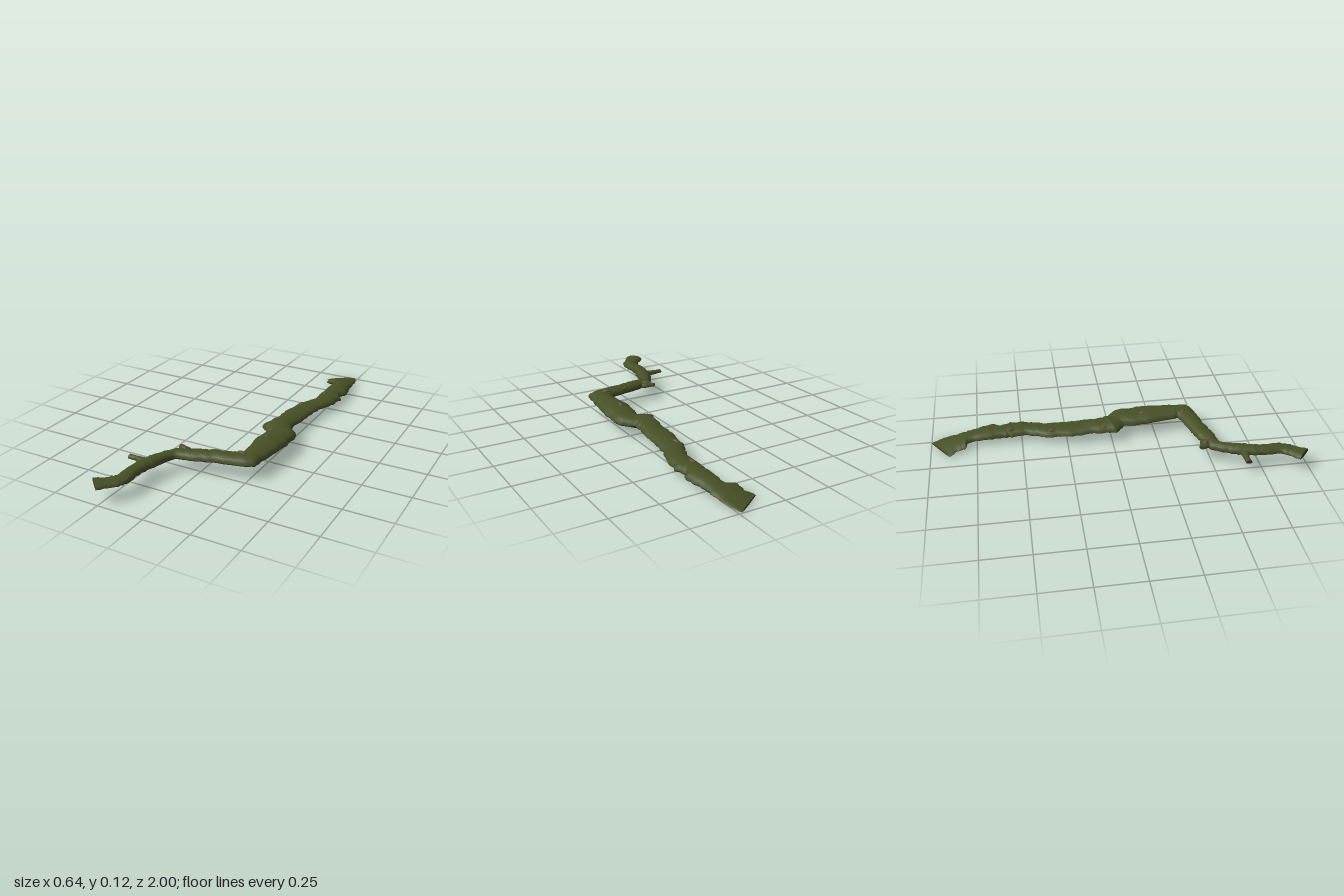
import * as THREE from 'three';

const moss = new THREE.MeshStandardMaterial({ color: 0x465025, side: THREE.DoubleSide });
moss.name = 'moss green';
const bark = new THREE.MeshStandardMaterial({ color: 0x45372b, side: THREE.DoubleSide });
bark.name = 'dark bark';
const knotWood = new THREE.MeshStandardMaterial({ color: 0x5e4d3a });
knotWood.name = 'bare wood';

// Stations: left edge x, z, right edge x, z, bottom y, top y
const rearStations = [
  [0.09, -0.90, 0.235, -1.00, 0.000, 0.012],
  [0.115, -0.86, 0.27, -0.92, 0.006, 0.030],
  [0.12, -0.81, 0.28, -0.82, 0.014, 0.048],
  [0.175, -0.80, 0.285, -0.79, 0.017, 0.055],
  [0.18, -0.70, 0.315, -0.66, 0.024, 0.070],
  [0.18, -0.60, 0.288, -0.62, 0.025, 0.070],
  [0.182, -0.55, 0.31, -0.56, 0.027, 0.072],
  [0.178, -0.45, 0.295, -0.46, 0.031, 0.075],
  [0.13, -0.35, 0.262, -0.37, 0.036, 0.077],
  [0.118, -0.22, 0.25, -0.22, 0.042, 0.083],
  [0.115, -0.10, 0.242, -0.12, 0.047, 0.092],
  [0.10, 0.01, 0.24, -0.04, 0.050, 0.103],
  [0.10, 0.03, 0.26, 0.00, 0.051, 0.100],
  [0.155, 0.07, 0.27, 0.04, 0.053, 0.090],
];
const frontStations = [
  [0.16, -0.01, 0.235, -0.035, 0.045, 0.088],
  [0.16, 0.07, 0.31, 0.045, 0.047, 0.105],
  [0.15, 0.20, 0.312, 0.20, 0.058, 0.114],
  [0.17, 0.35, 0.29, 0.36, 0.064, 0.115],
  [0.17, 0.385, 0.285, 0.46, 0.066, 0.117],
  [0.10, 0.405, 0.20, 0.49, 0.066, 0.114],
  [0.00, 0.43, 0.08, 0.51, 0.064, 0.111],
  [-0.06, 0.455, -0.02, 0.54, 0.062, 0.108],
  [-0.15, 0.49, -0.11, 0.56, 0.060, 0.104],
  [-0.20, 0.58, -0.14, 0.64, 0.060, 0.108],
  [-0.23, 0.66, -0.148, 0.68, 0.061, 0.108],
  [-0.245, 0.75, -0.168, 0.75, 0.063, 0.106],
  [-0.25, 0.85, -0.168, 0.87, 0.066, 0.103],
  [-0.275, 0.89, -0.19, 0.93, 0.069, 0.100],
  [-0.325, 0.93, -0.25, 1.00, 0.074, 0.106],
];
const twigStations = [
  [-0.31, 0.675, -0.31, 0.642, 0.074, 0.094],
  [-0.27, 0.672, -0.27, 0.645, 0.070, 0.094],
  [-0.19, 0.70, -0.19, 0.635, 0.065, 0.098],
];
const spurStations = [
  [-0.155, 0.45, -0.135, 0.435, 0.075, 0.093],
  [-0.135, 0.50, -0.08, 0.45, 0.066, 0.100],
  [-0.10, 0.53, -0.05, 0.49, 0.064, 0.098],
];

let seed = 7;
const random = () => (seed = (seed * 16807) % 2147483647) / 2147483647;

// Subdivide the stations, adding ragged bark steps along both edges
function refine(stations, steps, rough) {
  const rings = [];
  for (let i = 0; i < stations.length - 1; i++) {
    for (let k = 0; k < steps; k++) {
      const t = k / steps;
      const s = stations[i].map((v, n) => v + (stations[i + 1][n] - v) * t);
      if (i + k > 0) {
        const dx = s[2] - s[0], dz = s[3] - s[1], len = Math.hypot(dx, dz);
        const a = (random() - 0.5) * rough / len, b = (random() - 0.6) * rough / len;
        s[0] += dx * a; s[1] += dz * a;
        s[2] += dx * b; s[3] += dz * b;
        s[5] += (random() - 0.6) * rough * 0.3;
      }
      rings.push(s);
    }
  }
  rings.push(stations[stations.length - 1]);
  return rings;
}

// One skin of the trunk: the domed top or the shallow underside
const SIDES = 10;
function skin(rings, isTop) {
  const positions = [], index = [];
  for (const [lx, lz, rx, rz, bottom, top] of rings) {
    const edge = bottom + (top - bottom) * 0.3;
    for (let j = 0; j <= SIDES; j++) {
      const angle = Math.PI * j / SIDES;
      const u = (1 - Math.cos(angle)) / 2;
      const bulge = Math.pow(Math.max(0, Math.sin(angle)), 0.9);
      positions.push(lx + (rx - lx) * u, edge + ((isTop ? top : bottom) - edge) * bulge, lz + (rz - lz) * u);
    }
  }
  const row = SIDES + 1;
  for (let i = 0; i < rings.length - 1; i++) {
    for (let j = 0; j < SIDES; j++) {
      const a = i * row + j, b = a + 1, c = a + row, d = c + 1;
      if (isTop) index.push(a, c, b, b, c, d);
      else index.push(a, b, c, b, d, c);
    }
  }
  const geometry = new THREE.BufferGeometry();
  geometry.setAttribute('position', new THREE.Float32BufferAttribute(positions, 3));
  geometry.setIndex(index);
  geometry.computeVertexNormals();
  return geometry;
}

// Flat broken end closing a sweep
function endCap(ring) {
  const [lx, lz, rx, rz, bottom, top] = ring;
  const edge = bottom + (top - bottom) * 0.3;
  const positions = [], index = [];
  for (let j = 0; j < SIDES * 2; j++) {
    const angle = Math.PI * j / SIDES, s = Math.sin(angle);
    const u = (1 - Math.cos(angle)) / 2;
    const y = edge + (s >= 0 ? top - edge : edge - bottom) * Math.sign(s) * Math.pow(Math.abs(s), 0.9);
    positions.push(lx + (rx - lx) * u, y, lz + (rz - lz) * u);
    if (j > 1) index.push(0, j, j - 1);
  }
  const geometry = new THREE.BufferGeometry();
  geometry.setAttribute('position', new THREE.Float32BufferAttribute(positions, 3));
  geometry.setIndex(index);
  geometry.computeVertexNormals();
  return geometry;
}

function limb(name, stations, steps, rough) {
  const group = new THREE.Group();
  group.name = name;
  const rings = refine(stations, steps, rough);
  const add = (part, geometry, material) => {
    const mesh = new THREE.Mesh(geometry, material);
    mesh.name = part;
    group.add(mesh);
  };
  add('mossyTop', skin(rings, true), moss);
  add('barkUnderside', skin(rings, false), bark);
  add('rearEnd', endCap(rings[0]), bark);
  add('frontEnd', endCap(rings[rings.length - 1]), bark);
  return group;
}

export function createModel() {
  const model = new THREE.Group();
  model.name = 'mossyBranch';
  model.add(limb('rearLimb', rearStations, 5, 0.012));
  model.add(limb('frontLimb', frontStations, 5, 0.01));
  model.add(limb('twig', twigStations, 2, 0.003));
  model.add(limb('spur', spurStations, 2, 0.003));

  // Small bare knots showing through the moss: x, y, z, turn
  const knots = [
    [0.215, 0.066, -0.56, 0.2], [0.165, 0.072, -0.33, 0.4], [0.135, 0.085, -0.04, 0.1],
    [0.21, 0.109, 0.19, 0], [0.185, 0.111, 0.415, 1.2], [0.06, 0.099, 0.437, 1.4], [-0.11, 0.097, 0.475, 1.1],
  ];
  const knotShape = new THREE.SphereGeometry(1, 12, 8);
  for (const [x, y, z, turn] of knots) {
    const knot = new THREE.Mesh(knotShape, knotWood);
    knot.name = 'knot';
    knot.scale.set(0.013, 0.009, 0.024);
    knot.position.set(x, y, z);
    knot.rotation.y = turn;
    model.add(knot);
  }
  return model;
}
